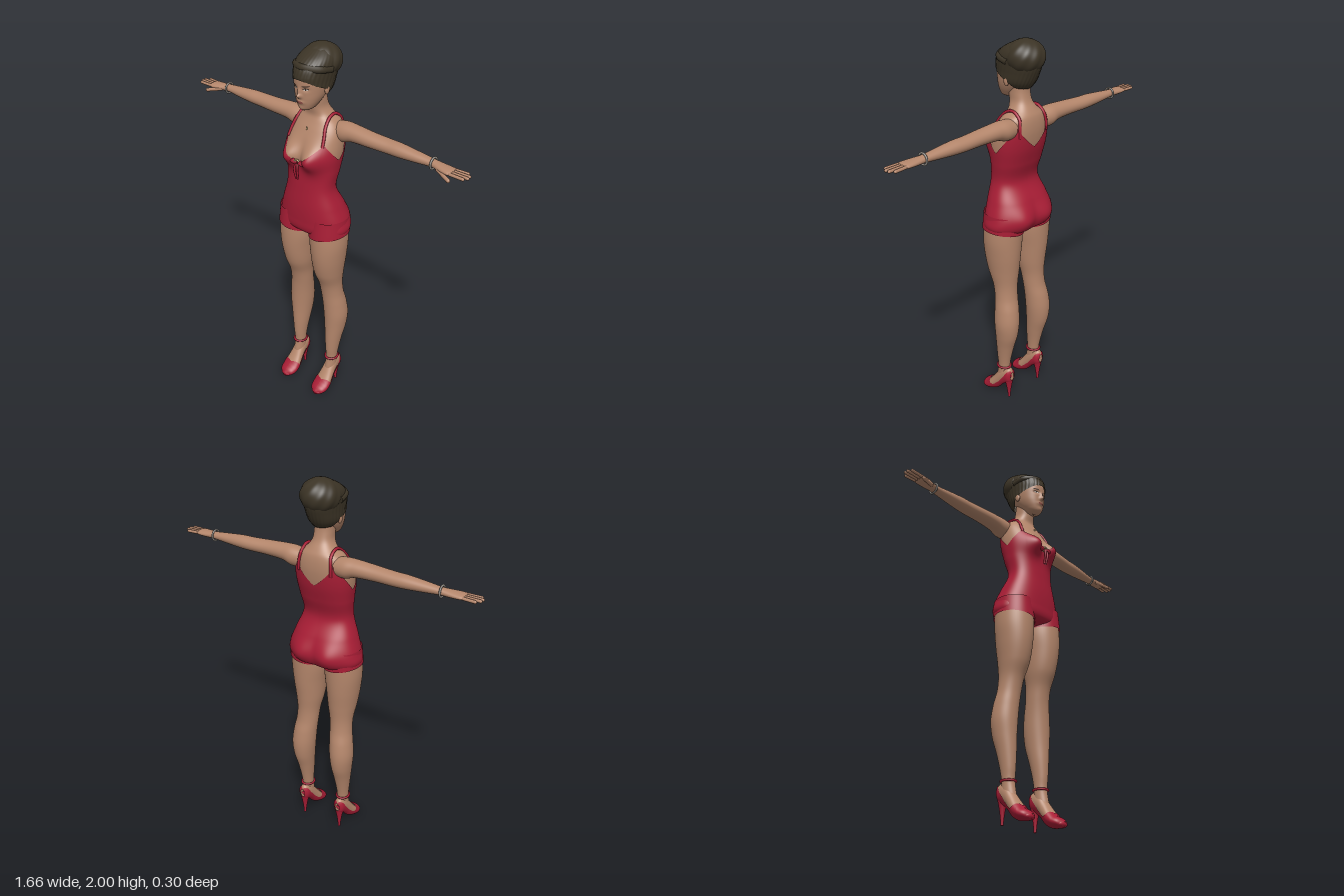
import * as THREE from 'three';

const paint = (name, color, side = THREE.FrontSide) => {
  const m = new THREE.MeshStandardMaterial({ color, side });
  m.name = name;
  return m;
};

// Smooth lookup in a table of rows [key, a, b, ...], keys ascending
function lookup(table, t) {
  const n = table.length - 1;
  t = Math.min(Math.max(t, table[0][0]), table[n][0]);
  let i = 0;
  while (i < n - 1 && t > table[i + 1][0]) i++;
  const p = table[i], q = table[i + 1], h = q[0] - p[0], s = (t - p[0]) / h;
  const o = table[Math.max(i - 1, 0)], r = table[Math.min(i + 2, n)];
  return p.slice(1).map((a, k) => {
    const b = q[k + 1];
    const m0 = (b - o[k + 1]) / (q[0] - o[0]) * h, m1 = (r[k + 1] - a) / (r[0] - p[0]) * h;
    return (2 * s ** 3 - 3 * s * s + 1) * a + (s ** 3 - 2 * s * s + s) * m0
      + (3 * s * s - 2 * s ** 3) * b + (s ** 3 - s * s) * m1;
  });
}

// Straight-line lookup for hems and necklines
function linear(pts, t) {
  if (t <= pts[0][0]) return pts[0][1];
  for (let i = 1; i < pts.length; i++) {
    const [a, y0] = pts[i - 1], [b, y1] = pts[i];
    if (t <= b) return y0 + (y1 - y0) * (t - a) / (b - a);
  }
  return pts[pts.length - 1][1];
}

// Surface from f(u, v); a closed one joins u = 1 to u = 0
function surface(nu, nv, f, closed = true) {
  const pos = [], index = [], cols = closed ? nu : nu + 1;
  for (let j = 0; j <= nv; j++) for (let i = 0; i < cols; i++) pos.push(...f(i / nu, j / nv));
  for (let j = 0; j < nv; j++) for (let i = 0; i < nu; i++) {
    const k = (i + 1) % cols, a = j * cols + i, b = j * cols + k, c = a + cols, d = b + cols;
    index.push(a, c, b, b, c, d);
  }
  const g = new THREE.BufferGeometry();
  g.setAttribute('position', new THREE.Float32BufferAttribute(pos, 3));
  g.setIndex(index);
  g.computeVertexNormals();
  return g;
}

// Upright form from rows [y, halfWidth, zFront, zBack] with added bumps
function form(table, n, bump = () => 0) {
  const at = (x, y, s, hd, cz) => cz + hd * s + bump(x, y, s > 0) * Math.abs(s);
  return {
    point(theta, y, off = 0) {
      const [hw, zf, zb] = lookup(table, y), c = Math.cos(theta), s = Math.sin(theta);
      const x = (hw + off) * Math.sign(c) * Math.abs(c) ** (2 / n);
      return [x, y, at(x, y, Math.sign(s) * Math.abs(s) ** (2 / n), (zf - zb) / 2 + off, (zf + zb) / 2)];
    },
    z(x, y, sign = 1) {
      const [hw, zf, zb] = lookup(table, y);
      const s = Math.max(0, 1 - Math.abs(x / hw) ** n) ** (1 / n);
      return at(x, y, sign * s, (zf - zb) / 2, (zf + zb) / 2);
    },
  };
}
const bell = (x, y, cx, cy, sx, sy) => Math.exp(-(((x - cx) / sx) ** 2) - ((y - cy) / sy) ** 2);
const TAU = Math.PI * 2;

const torso = form([
  [1.022, 0.05, 0.03, -0.03], [1.04, 0.15, 0.085, -0.085], [1.065, 0.194, 0.108, -0.11],
  [1.12, 0.19, 0.113, -0.122], [1.2, 0.163, 0.113, -0.1], [1.3, 0.129, 0.105, -0.058],
  [1.4, 0.138, 0.098, -0.083], [1.48, 0.147, 0.1, -0.105], [1.55, 0.145, 0.083, -0.115],
  [1.6, 0.135, 0.06, -0.115], [1.64, 0.11, 0.037, -0.108], [1.665, 0.075, 0.027, -0.095],
  [1.7, 0.052, 0.032, -0.075], [1.74, 0.048, 0.04, -0.064], [1.78, 0.048, 0.045, -0.06],
], 2.3, (x, y, front) => front
  ? 0.056 * bell(Math.abs(x), y, 0.07, 1.47, 0.055, 0.06)
  : -0.026 * bell(Math.abs(x), y, 0.085, 1.11, 0.07, 0.075));

const head = form([
  [1.708, 0.012, 0.085, 0.05], [1.716, 0.032, 0.094, 0.02], [1.74, 0.05, 0.102, -0.01],
  [1.77, 0.064, 0.106, -0.04], [1.8, 0.072, 0.108, -0.065], [1.84, 0.077, 0.112, -0.09],
  [1.88, 0.077, 0.108, -0.1], [1.92, 0.068, 0.085, -0.1], [1.95, 0.03, 0.03, -0.06],
], 2.2, (x, y, front) => !front ? 0
  : 0.02 * bell(x, y, 0, 1.787, 0.011, 0.011) + 0.01 * bell(x, y, 0, 1.808, 0.009, 0.018)
  + 0.006 * bell(x, y, 0, 1.755, 0.02, 0.009) + 0.004 * bell(x, y, 0, 1.722, 0.016, 0.012)
  - 0.007 * bell(Math.abs(x), y, 0.03, 1.822, 0.017, 0.011));

const hair = form([
  [1.765, 0.058, 0.1, -0.07], [1.8, 0.079, 0.112, -0.098], [1.85, 0.085, 0.117, -0.122],
  [1.88, 0.088, 0.117, -0.132], [1.92, 0.091, 0.102, -0.138], [1.95, 0.084, 0.07, -0.134],
  [1.975, 0.064, 0.025, -0.11], [1.99, 0.035, -0.01, -0.07], [1.994, 0.004, -0.03, -0.04],
], 2.1);

// Leg rows: y, centre x, centre z, half width, half depth
const legRows = [
  [0.13, 0.116, -0.004, 0.031, 0.04], [0.2, 0.116, -0.01, 0.03, 0.034], [0.26, 0.117, -0.013, 0.035, 0.041],
  [0.34, 0.118, -0.022, 0.045, 0.052], [0.42, 0.12, -0.034, 0.056, 0.064], [0.5, 0.12, -0.037, 0.064, 0.069],
  [0.58, 0.114, -0.031, 0.063, 0.066], [0.65, 0.106, -0.02, 0.06, 0.061], [0.72, 0.102, -0.01, 0.062, 0.066],
  [0.8, 0.1, 0.003, 0.075, 0.085], [0.9, 0.102, 0.008, 0.087, 0.1], [1, 0.101, 0.007, 0.096, 0.105],
  [1.14, 0.1, 0, 0.088, 0.102],
];
const legPoint = (a, y, off = 0) => {
  const [cx, cz, rx, rz] = lookup(legRows, y);
  return [cx + (rx + off) * Math.cos(a), y, cz + (rz + off) * Math.sin(a)];
};
// Arm rows: x, centre y, centre z, half height, half depth
const armRows = [
  [0.08, 1.59, -0.05, 0.045, 0.045], [0.15, 1.594, -0.053, 0.051, 0.052], [0.2, 1.601, -0.052, 0.043, 0.047],
  [0.3, 1.6, -0.051, 0.037, 0.043], [0.4, 1.598, -0.055, 0.034, 0.04], [0.46, 1.598, -0.055, 0.033, 0.038],
  [0.55, 1.597, -0.055, 0.026, 0.031], [0.64, 1.596, -0.055, 0.018, 0.024], [0.68, 1.594, -0.05, 0.017, 0.03],
  [0.72, 1.593, -0.046, 0.015, 0.035], [0.745, 1.593, -0.045, 0.011, 0.033], [0.752, 1.593, -0.045, 0.002, 0.02],
];
// Foot rows: z, bottom y, top y, half width
const footRows = [
  [-0.072, 0.125, 0.17, 0.01], [-0.06, 0.108, 0.19, 0.025], [-0.03, 0.09, 0.198, 0.031], [0, 0.065, 0.18, 0.035],
  [0.03, 0.03, 0.14, 0.04], [0.06, 0.012, 0.098, 0.046], [0.09, 0.007, 0.062, 0.046], [0.12, 0.006, 0.044, 0.035],
  [0.137, 0.008, 0.026, 0.01],
];
const footPoint = (phi, z, off = 0) => {
  const [b, t, w] = lookup(footRows, z);
  return [0.116 - (w + off) * Math.sin(phi), (b + t) / 2 - ((t - b) / 2 + off) * Math.cos(phi), z];
};

export function createModel() {
  const skin = paint('skin', 0xb4866b, THREE.DoubleSide), hairMat = paint('dark brown hair', 0x3c3426, THREE.DoubleSide);
  const red = paint('red fabric', 0xa81d35, THREE.DoubleSide), metal = paint('grey metal', 0x8a857f);
  const gold = paint('pale gold', 0xb59a6c), dark = paint('dark lashes', 0x33261f);
  const white = paint('eye white', 0xcfc4ba), lip = paint('lip', 0x8f5148);
  const model = new THREE.Group();
  const add = (name, g, mat) => {
    const m = new THREE.Mesh(g, mat);
    m.name = name;
    model.add(m);
  };
  // Adds a part at +x and its mirror image at -x
  const pair = (name, g, mat) => {
    add(name + 'Left', g, mat);
    const r = g.clone(), ix = r.index.array;
    r.scale(-1, 1, 1);
    for (let i = 0; i < ix.length; i += 3) [ix[i], ix[i + 1]] = [ix[i + 1], ix[i]];
    add(name + 'Right', r, mat);
  };
  const ball = (x, y, z, rx, ry, rz) => new THREE.SphereGeometry(1, 32, 24).scale(rx, ry, rz).translate(x, y, z);
  const tube = (pts, r, seg = 24) => new THREE.TubeGeometry(
    new THREE.CatmullRomCurve3(pts.map(p => new THREE.Vector3(...p))), seg, r, 8);

  // Torso, neck and head
  add('torso', surface(96, 60, (u, v) => torso.point(u * TAU, 1.3 + 0.48 * v)), skin);
  add('head', surface(128, 90, (u, v) => head.point(u * TAU, 1.708 + 0.242 * v)), skin);
  add('chin', ball(0, 1.722, 0.07, 0.028, 0.014, 0.028), skin);
  pair('ear', ball(0.075, 1.805, 0.002, 0.009, 0.024, 0.015), skin);

  // Face details laid on the head
  const patch = (x, y, rx, ry, tilt, lift) => {
    const g = new THREE.CircleGeometry(1, 24).scale(rx, ry, 1).rotateZ(tilt).translate(x, y, 0), p = g.attributes.position;
    for (let i = 0; i < p.count; i++) p.setZ(i, head.z(p.getX(i), p.getY(i)) + lift);
    g.computeVertexNormals();
    return g;
  };
  pair('lashes', patch(0.031, 1.8225, 0.015, 0.0055, 0.1, 0.0015), dark);
  pair('eye', patch(0.031, 1.8205, 0.012, 0.0036, 0.1, 0.0025), white);
  pair('iris', patch(0.031, 1.8207, 0.0035, 0.0035, 0, 0.0035), dark);
  pair('eyebrow', patch(0.033, 1.838, 0.018, 0.0025, 0.12, 0.002), dark);
  add('lips', patch(0, 1.755, 0.019, 0.0065, 0, 0.002), lip);

  // Upswept hair with a lower hairline at the back, and a rolled bun
  const hairline = [[-1, 1.768], [-0.5, 1.775], [0, 1.81], [0.6, 1.838], [1, 1.866]];
  add('hair', surface(128, 40, (u, v) => {
    const a = u * TAU, low = linear(hairline, Math.sin(a));
    return hair.point(a, low + (1.994 - low) * v, 0.0012 * Math.sin(a * 32 + v * 8) * (1 - v));
  }), hairMat);
  add('bun', surface(96, 32, (u, v) => {
    const a = u * TAU, b = (v - 0.5) * Math.PI, r = Math.cos(b) * (1 + 0.018 * Math.sin(a * 9 + v * 14));
    return [0.096 * r * Math.cos(a), 1.918 + 0.082 * Math.sin(b), -0.05 + 0.096 * r * Math.sin(a)];
  }), hairMat);
  add('frontRoll', tube([[-0.082, 1.9, -0.02], [-0.07, 1.912, 0.05], [0, 1.918, 0.09],
    [0.07, 1.912, 0.05], [0.082, 1.9, -0.02]], 0.018, 40), hairMat);

  // Arms, hands and bracelets
  pair('arm', surface(40, 80, (u, v) => {
    const x = 0.08 + 0.672 * v, [cy, cz, ry, rz] = lookup(armRows, x), a = u * TAU;
    return [x, cy + ry * Math.sin(a), cz + rz * Math.cos(a)];
  }), skin);
  const digit = (name, from, to, r) => {
    const a = new THREE.Vector3(...from), d = new THREE.Vector3(...to).sub(a), len = d.length();
    const g = new THREE.CapsuleGeometry(r, len, 6, 12).translate(0, len / 2, 0);
    g.applyQuaternion(new THREE.Quaternion().setFromUnitVectors(new THREE.Vector3(0, 1, 0), d.normalize()));
    pair(name, g.translate(...from), skin);
  };
  [0.802, 0.82, 0.822, 0.81].forEach((end, i) =>
    digit('finger' + (i + 1), [0.73, 1.593, -0.07 + i * 0.017], [end, 1.593, -0.075 + i * 0.019], 0.0078));
  digit('thumb', [0.675, 1.588, -0.03], [0.75, 1.572, 0], 0.0095);
  pair('bracelet', new THREE.TorusGeometry(0.027, 0.005, 10, 32).rotateY(Math.PI / 2).translate(0.638, 1.596, -0.055), metal);

  // Legs and feet
  pair('leg', surface(48, 90, (u, v) => legPoint(u * TAU, 0.13 + 0.97 * v)), skin);
  pair('foot', surface(40, 40, (u, v) => footPoint(u * TAU, -0.07 + 0.2 * v)), skin);

  // One-piece suit: body with a V neck front and back, then short legs
  const neckline = [[-90, 1.49], [-45, 1.605], [0, 1.465], [45, 1.552], [90, 1.445]];
  add('suitBody', surface(128, 70, (u, v) => {
    const a = u * TAU, side = Math.asin(Math.sin(a)) * 180 / Math.PI;
    return torso.point(a, 1.022 + (linear(neckline, side) - 1.022) * v, 0.005);
  }), red);
  pair('suitLeg', surface(64, 12, (u, v) => {
    const a = u * TAU, low = 1.035 + 0.015 * Math.cos(a);
    return legPoint(a, low + (1.14 - low) * v, 0.006);
  }), red);
  const on = (x, y, sign) => [x, y, torso.z(x, y, sign) + sign * 0.004];
  pair('strap', tube([on(0.107, 1.54, 1), on(0.1, 1.585, 1), on(0.09, 1.625, 1), [0.082, 1.664, -0.015],
    [0.081, 1.668, -0.055], on(0.083, 1.638, -1), on(0.09, 1.595, -1), on(0.09, 1.55, -1)], 0.0075, 48), red);
  add('clasp', new THREE.TorusGeometry(0.014, 0.005, 8, 24).translate(0, 1.452, 0.133), gold);
  pair('bow', ball(0.025, 1.452, 0.13, 0.022, 0.013, 0.012), red);
  pair('tie', tube([[0.003, 1.45, 0.135], [0.009, 1.42, 0.142], [0.005, 1.365, 0.132]], 0.006), red);
  add('pendant', ball(0, 1.605, torso.z(0, 1.605) + 0.002, 0.005, 0.008, 0.004), gold);

  // High-heeled shoes: closed toe and heel cup, open over the instep
  const opening = [[-0.072, Math.PI], [-0.06, 2.5], [-0.035, 1.55], [0, 1.15], [0.04, 1.3], [0.06, 1.8], [0.08, Math.PI]];
  pair('shoe', surface(40, 48, (u, v) => {
    const z = -0.072 + 0.209 * v;
    return footPoint((u * 2 - 1) * linear(opening, z), z, 0.004);
  }, false), red);
  pair('shoeToe', ball(0.116, 0.018, 0.12, 0.032, 0.016, 0.02), red);
  pair('shoeHeel', surface(24, 10, (u, v) => {
    const a = u * TAU, r = 0.007 + 0.019 * v ** 1.6;
    return [0.116 + r * Math.cos(a), 0.125 * v, -0.047 + 0.002 * v + r * Math.sin(a)];
  }), red);
  pair('heelTip', new THREE.CylinderGeometry(0.007, 0.007, 0.004, 20).translate(0.116, 0.002, -0.047), red);
  pair('ankleStrap', new THREE.TorusGeometry(0.034, 0.006, 8, 36).rotateX(Math.PI / 2).scale(1, 1, 1.1).translate(0.116, 0.2, -0.01), red);
  return model;
}
